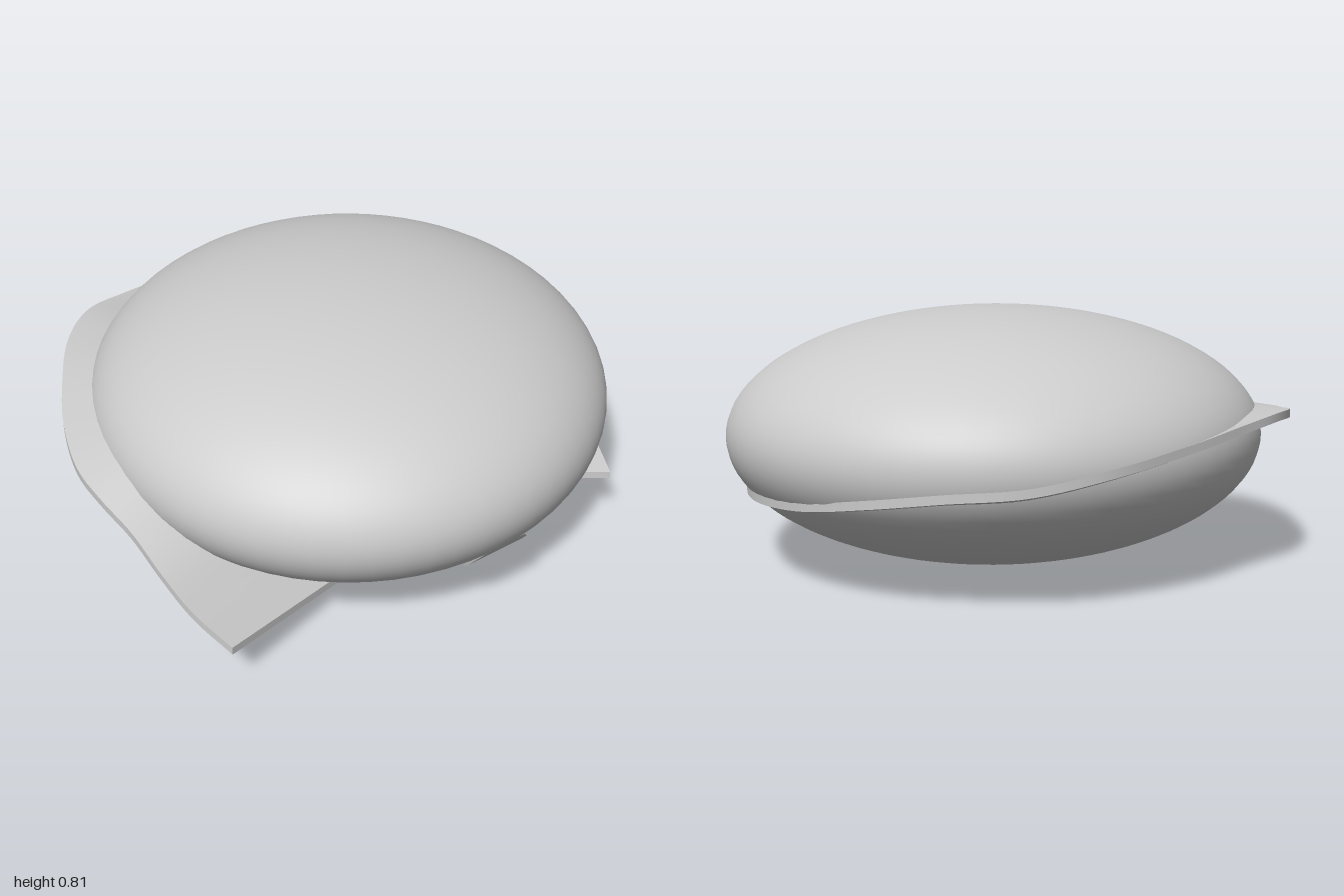
import * as THREE from 'three';
import { toCreasedNormals } from 'three/addons/utils/BufferGeometryUtils.js';

const CENTER = new THREE.Vector3(0.035, 0.407, -0.07);
const RADII = new THREE.Vector3(0.867, 0.405, 0.93);

// Front-side z of the body at a given x, y
function bodyZ(x, y) {
  const u = (x - CENTER.x) / RADII.x, v = (y - CENTER.y) / RADII.y;
  return CENTER.z + RADII.z * Math.sqrt(Math.max(0, 1 - u * u - v * v));
}

// Band stations from the front flap around the -x side and back to the tail: outer edge, inner edge
const STATIONS = [
  [-0.28, 0.17, 1.0, 0.02, 0.1, 0.6],
  [-0.4, 0.23, 0.92, -0.12, 0.18, 0.56],
  [-0.5, 0.29, 0.82, -0.3, 0.32, 0.54],
  [-0.6, 0.345, 0.7, -0.44, 0.41, 0.48],
  [-0.7, 0.385, 0.6, -0.52, 0.46, 0.42],
  [-0.79, 0.41, 0.48, -0.6, 0.47, 0.35],
  [-0.86, 0.44, 0.3, -0.66, 0.48, 0.2],
  [-0.9, 0.46, 0.1, -0.7, 0.49, 0.07],
  [-0.92, 0.49, -0.15, -0.71, 0.48, -0.12],
  [-0.88, 0.5, -0.33, -0.68, 0.46, -0.28],
  [-0.78, 0.48, -0.48, -0.6, 0.42, -0.4],
  [-0.65, 0.45, -0.65, -0.5, 0.38, -0.54],
  [-0.44, 0.41, -0.88, -0.34, 0.34, -0.72],
  [-0.23, 0.37, -0.98, -0.18, 0.31, -0.8],
  [0, 0.35, -1.0, 0, 0.29, -0.82],
  [0.22, 0.32, -0.965, 0.18, 0.26, -0.76],
  [0.45, 0.28, -0.84, 0.36, 0.23, -0.65],
  [0.64, 0.26, -0.66, 0.5, 0.2, -0.5],
  [0.76, 0.25, -0.45, 0.56, 0.18, -0.35],
  [0.83, 0.24, -0.2, 0.55, 0.11, -0.2],
  [0.87, 0.23, 0, 0.55, 0.085, -0.12],
  [0.905, 0.215, 0.2, 0.58, 0.08, 0.03],
];

// Thin closed strip lofted between the two edge curves
function bandGeometry(thickness, steps) {
  const edge = (o) => new THREE.CatmullRomCurve3(
    STATIONS.map((s) => new THREE.Vector3(s[o], s[o + 1], s[o + 2])), false, 'centripetal');
  const outer = edge(0), inner = edge(3);
  const positions = [], index = [];
  for (let i = 0; i <= steps; i++) {
    const a = outer.getPoint(i / steps), b = inner.getPoint(i / steps);
    const h = thickness / 2;
    positions.push(a.x, a.y + h, a.z, b.x, b.y + h, b.z, b.x, b.y - h, b.z, a.x, a.y - h, a.z);
  }
  for (let i = 0; i < steps; i++) {
    for (let k = 0; k < 4; k++) {
      const p = i * 4 + k, q = i * 4 + (k + 1) % 4;
      index.push(p, p + 4, q, q, p + 4, q + 4);
    }
  }
  const e = steps * 4;
  index.push(0, 1, 2, 0, 2, 3, e, e + 2, e + 1, e, e + 3, e + 2);
  const g = new THREE.BufferGeometry();
  g.setAttribute('position', new THREE.Float32BufferAttribute(positions, 3));
  g.setIndex(index);
  return toCreasedNormals(g, 0.6);
}

// Small facet laid on the front of the body
function facetGeometry(outline) {
  const g = new THREE.ShapeGeometry(new THREE.Shape(outline.map(([x, y]) => new THREE.Vector2(x, y))));
  const p = g.attributes.position;
  for (let i = 0; i < p.count; i++) p.setZ(i, bodyZ(p.getX(i), p.getY(i)) + 0.016);
  g.computeVertexNormals();
  return g;
}

export function createModel() {
  const group = new THREE.Group();
  const gray = new THREE.MeshStandardMaterial({ color: 0xcccccc });
  const thin = new THREE.MeshStandardMaterial({ color: 0xcccccc, side: THREE.DoubleSide });
  const add = (name, geometry, material) => {
    const mesh = new THREE.Mesh(geometry, material);
    mesh.name = name;
    group.add(mesh);
    return mesh;
  };

  // Smooth flattened body
  const body = add('body', new THREE.SphereGeometry(1, 64, 48), gray);
  body.scale.copy(RADII);
  body.position.copy(CENTER);

  // Wavy band wrapped around the body
  add('band', bandGeometry(0.026, 120), thin);

  // Two facets of the small front spot
  add('spotUpper', facetGeometry([[0.405, 0.26], [0.58, 0.255], [0.588, 0.3], [0.575, 0.333],
    [0.53, 0.34], [0.48, 0.335], [0.435, 0.305]]), thin);
  add('spotLower', facetGeometry([[0.405, 0.26], [0.395, 0.205], [0.42, 0.187], [0.48, 0.178],
    [0.53, 0.185], [0.57, 0.215], [0.58, 0.255]]), thin);

  return group;
}
